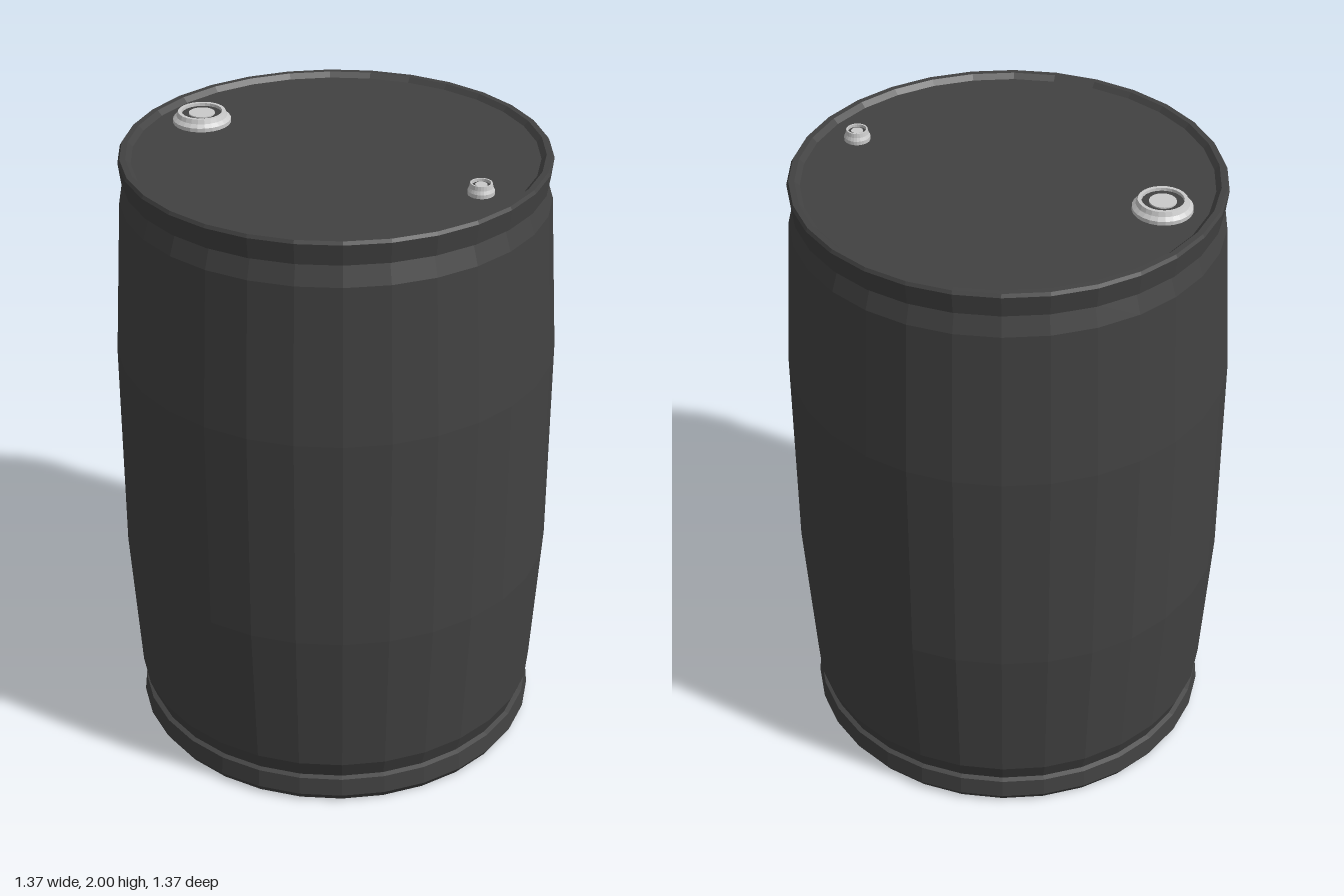
import * as THREE from 'three';

const SIDES = 30;

// Solid of revolution from [radius, height] pairs, listed upward along the outside
function lathe(name, profile, material, sides, start = 0) {
  const points = profile.map(([r, y]) => new THREE.Vector2(r, y));
  const mesh = new THREE.Mesh(new THREE.LatheGeometry(points, sides, start), material);
  mesh.name = name;
  return mesh;
}

export function createModel() {
  const plastic = new THREE.MeshStandardMaterial({ color: 0x424242, flatShading: true });
  plastic.name = 'darkGreyPlastic';
  const metal = new THREE.MeshStandardMaterial({ color: 0xcacaca, flatShading: true });
  metal.name = 'lightGreyMetal';

  const barrel = new THREE.Group();
  barrel.name = 'barrel';

  // Body: foot rim, bulging wall, top rim and sunken lid
  barrel.add(lathe('body', [
    [0, 0.005], [0.62, 0.005], [0.63, 0], [0.64, 0], [0.656, 0.025], [0.65, 0.085],
    [0.635, 0.09], [0.657, 0.15], [0.687, 0.64], [0.687, 1.34], [0.657, 1.84],
    [0.635, 1.905], [0.648, 1.905], [0.656, 1.97], [0.65, 1.98],
    [0.632, 1.98], [0.617, 1.965], [0, 1.965],
  ], plastic, SIDES, THREE.MathUtils.degToRad(-4)));

  // Filler caps: a stepped ring, a dark groove floor and a centre plug
  function addCap(name, radius, x, z) {
    const cap = new THREE.Group();
    cap.name = name;
    const r = (f) => f * radius;
    cap.add(lathe('ring', [
      [r(1), 0], [r(1), 0.012], [r(0.88), 0.022], [r(0.82), 0.035], [r(0.7), 0.035], [r(0.68), 0.01],
    ], metal, 24));
    cap.add(lathe('groove', [[r(0.7), 0.026], [r(0.44), 0.026]], plastic, 24));
    cap.add(lathe('plug', [[r(0.45), 0.01], [r(0.45), 0.03], [0, 0.03]], metal, 24));
    cap.position.set(x, 1.965, z);
    barrel.add(cap);
  }
  addCap('largeCap', 0.09, -0.44, -0.2);
  addCap('smallCap', 0.04, 0.45, 0.25);

  return barrel;
}
